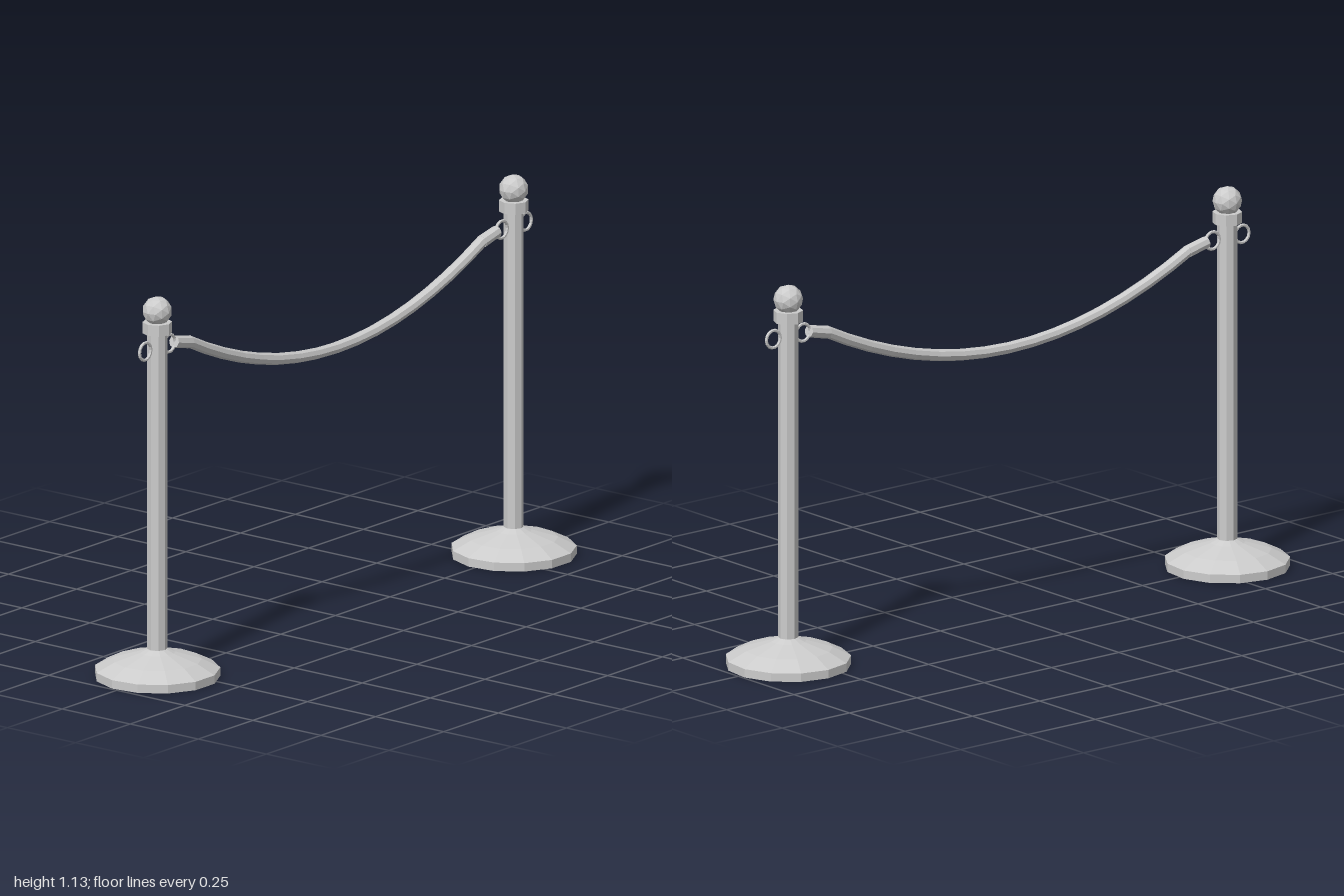
import * as THREE from 'three';

const material = new THREE.MeshStandardMaterial({ color: 0xcccccc, flatShading: true });
const POST_X = 0.815;
const RING_Y = 0.98;

function add(parent, name, geometry, x = 0, y = 0, z = 0) {
  const mesh = new THREE.Mesh(geometry, material);
  mesh.name = name;
  mesh.position.set(x, y, z);
  parent.add(mesh);
  return mesh;
}

function makePost(name) {
  const post = new THREE.Group();
  post.name = name;

  // Weighted foot with a sloping top
  const profile = [[0, 0], [0.181, 0], [0.181, 0.025], [0.128, 0.052], [0.052, 0.074], [0.03, 0.084], [0, 0.084]];
  const base = add(post, 'base', new THREE.LatheGeometry(profile.map(p => new THREE.Vector2(...p)), 13));
  base.rotation.y = Math.PI;

  // Pole, collar and ball finial
  add(post, 'pole', new THREE.CylinderGeometry(0.029, 0.029, 0.96, 8), 0, 0.56);
  add(post, 'collar', new THREE.CylinderGeometry(0.043, 0.043, 0.033, 8), 0, 1.04);
  add(post, 'neck', new THREE.CylinderGeometry(0.026, 0.026, 0.03, 8), 0, 1.06);
  add(post, 'ballFinial', new THREE.IcosahedronGeometry(0.043, 1), 0, 1.089);

  // Rope rings on both sides
  for (const side of [-1, 1]) {
    add(post, 'ropeRing', new THREE.TorusGeometry(0.026, 0.0048, 6, 14), side * 0.055, RING_Y);
  }
  return post;
}

export function createModel() {
  const model = new THREE.Group();
  model.name = 'ropeBarrier';

  for (const side of [-1, 1]) {
    const post = makePost(side > 0 ? 'leftPost' : 'rightPost');
    post.position.x = side * POST_X;
    model.add(post);

    // End fitting joining the rope to the inner ring
    const outer = new THREE.Vector3(side * 0.738, 0.98, 0);
    const inner = new THREE.Vector3(side * 0.668, 0.964, 0);
    const dir = outer.clone().sub(inner);
    const fitting = add(model, 'ropeFitting', new THREE.CylinderGeometry(0.018, 0.019, dir.length(), 8));
    fitting.position.copy(outer).add(inner).multiplyScalar(0.5);
    fitting.quaternion.setFromUnitVectors(new THREE.Vector3(0, 1, 0), dir.normalize());
  }

  // Sagging rope
  const points = [];
  for (let i = 0; i <= 16; i++) {
    const x = -0.675 + (1.35 * i) / 16;
    points.push(new THREE.Vector3(x, 0.797 + 0.375 * x * x, 0));
  }
  add(model, 'rope', new THREE.TubeGeometry(new THREE.CatmullRomCurve3(points), 16, 0.0175, 8));
  return model;
}
